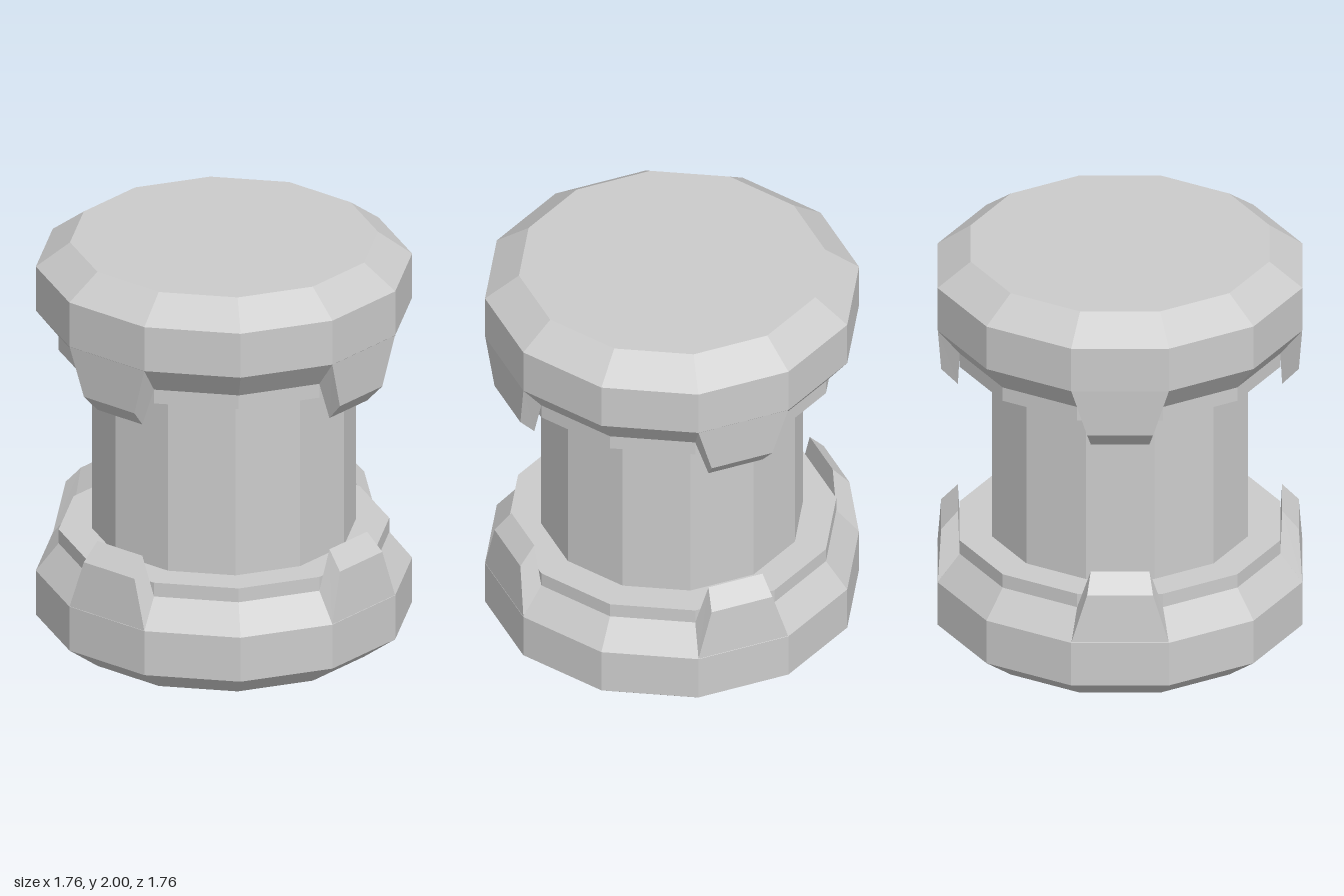
import * as THREE from 'three';

const SIDES = 12;
const STEP = Math.PI / 6;
const material = new THREE.MeshStandardMaterial({ color: 0xcccccc, flatShading: true });

function part(name, geometry) {
  const mesh = new THREE.Mesh(geometry, material);
  mesh.name = name;
  return mesh;
}

// Tapered tooth: cross-section rows of [half width, height, distance from axis]
function toothGeometry() {
  const rows = [
    [0.228, 0.34, 0.851],
    [0.154, 0.58, 0.835],
    [0.137, 0.667, 0.757],
    [0.2006, 0.475, 0.7486],
  ];
  const left = rows.map(([w, y, z]) => [-w, y, z]);
  const right = rows.map(([w, y, z]) => [w, y, z]);
  const positions = [];
  const quad = (a, b, c, d) => positions.push(...a, ...b, ...c, ...a, ...c, ...d);
  for (let i = 0; i < 3; i++) quad(left[i], right[i], right[i + 1], left[i + 1]);
  quad(right[0], right[3], right[2], right[1]);
  quad(left[0], left[1], left[2], left[3]);
  const geometry = new THREE.BufferGeometry();
  geometry.setAttribute('position', new THREE.Float32BufferAttribute(positions, 3));
  geometry.computeVertexNormals();
  return geometry;
}

// One end cap: chamfered twelve-sided rim with four teeth
function createCap(name) {
  const cap = new THREE.Group();
  cap.name = name;
  const profile = [
    [0, 0], [0.722, 0], [0.882, 0.117], [0.882, 0.34],
    [0.775, 0.475], [0.775, 0.545], [0.58, 0.545],
  ].map(([r, y]) => new THREE.Vector2(r, y));
  cap.add(part('rim', new THREE.LatheGeometry(profile, SIDES)));

  const tooth = toothGeometry();
  for (let i = 0; i < 4; i++) {
    const mesh = part('tooth', tooth);
    mesh.rotation.y = STEP / 2 + i * Math.PI / 2;
    cap.add(mesh);
  }
  return cap;
}

export function createModel() {
  const model = new THREE.Group();
  model.name = 'spool';

  // Central column
  const column = part('column', new THREE.CylinderGeometry(0.618, 0.618, 0.92, SIDES, 1, true));
  column.position.y = 1;
  model.add(column);

  // Lower cap, and the upper one turned over so its teeth line up
  model.add(createCap('lowerCap'));
  const upper = createCap('upperCap');
  upper.rotation.set(Math.PI, -5 * STEP, 0, 'YXZ');
  upper.position.y = 2;
  model.add(upper);

  return model;
}
